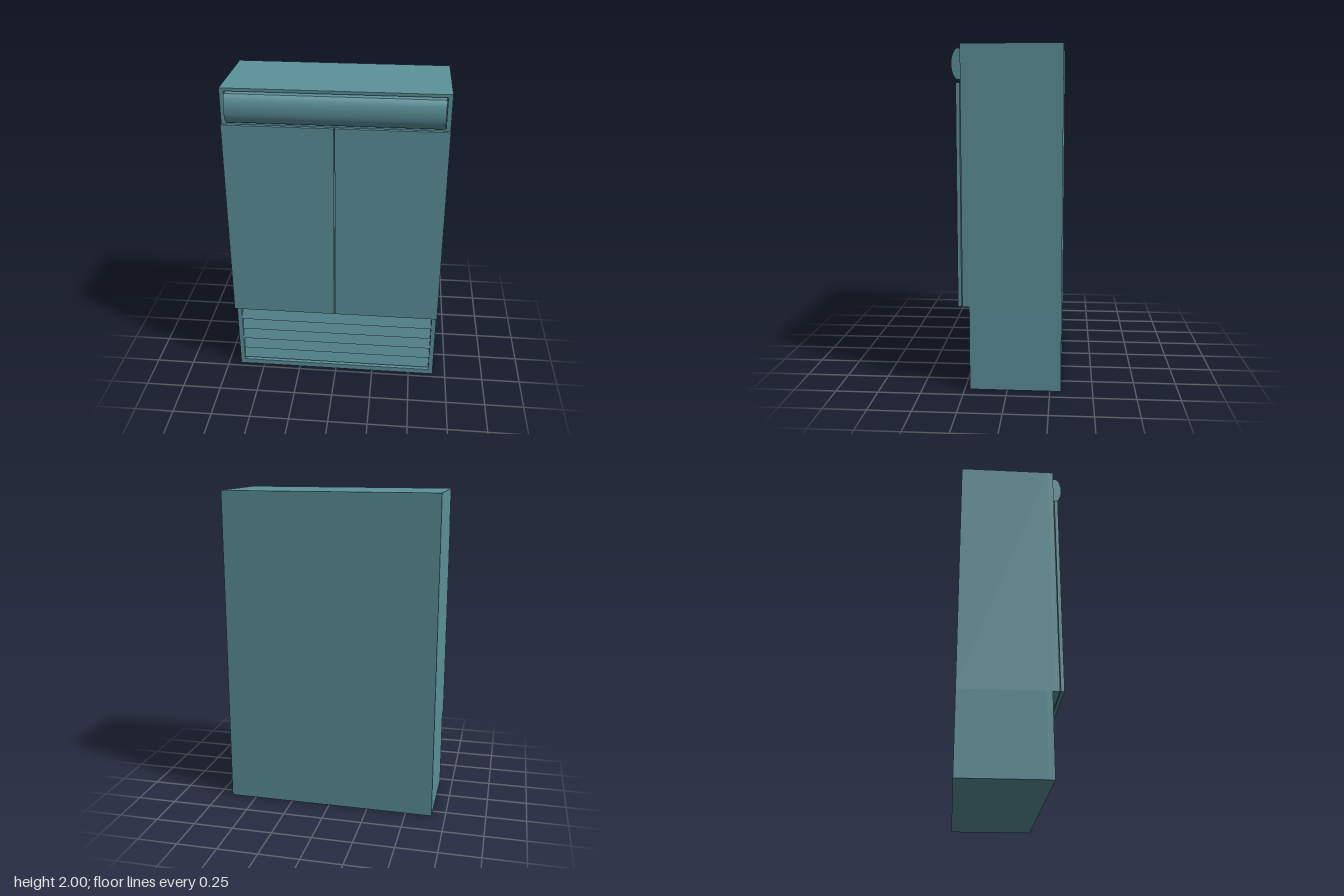
import * as THREE from 'three';
import { toCreasedNormals } from 'three/addons/utils/BufferGeometryUtils.js';

const HALF_W = 0.665, BACK = -0.315;

export function createModel() {
  const group = new THREE.Group();
  const teal = new THREE.MeshStandardMaterial({ color: 0x5c929b });
  teal.name = 'teal';

  const add = (name, geometry) => {
    const mesh = new THREE.Mesh(geometry, teal);
    mesh.name = name;
    group.add(mesh);
    return mesh;
  };

  // Box given by its limits on each axis
  const box = (name, x0, x1, y0, y1, z0, z1) =>
    add(name, new THREE.BoxGeometry(x1 - x0, y1 - y0, z1 - z0))
      .position.set((x0 + x1) / 2, (y0 + y1) / 2, (z0 + z1) / 2);

  const rect = (Type, w, y0, y1) => new Type([
    new THREE.Vector2(-w, y0), new THREE.Vector2(w, y0),
    new THREE.Vector2(w, y1), new THREE.Vector2(-w, y1),
  ]);

  // Front frame with a rectangular opening
  const frame = (name, y0, y1, holeW, hole0, hole1, z0, z1) => {
    const shape = rect(THREE.Shape, HALF_W, y0, y1);
    shape.holes.push(rect(THREE.Path, holeW, hole0, hole1));
    add(name, new THREE.ExtrudeGeometry(shape, { depth: z1 - z0, bevelEnabled: false }))
      .position.z = z0;
  };

  // Profile drawn in (z, y) and swept across the width
  const sweep = (name, shape, halfWidth) => {
    const geometry = new THREE.ExtrudeGeometry(shape, {
      depth: halfWidth * 2, bevelEnabled: false, curveSegments: 20,
    });
    geometry.translate(0, 0, -halfWidth).rotateY(-Math.PI / 2);
    return add(name, toCreasedNormals(geometry, 0.6));
  };

  // Cabinet and its front frames
  box('lowerCabinet', -HALF_W, HALF_W, 0, 0.5, BACK, 0.185);
  box('upperCabinet', -HALF_W, HALF_W, 0.5, 2, BACK, 0.23);
  frame('grilleFrame', 0, 0.5, 0.635, 0.035, 0.46, 0.185, 0.22);
  frame('topFrame', 0.5, 2, 0.638, 1.797, 1.982, 0.23, 0.26);

  // Sloping louvre slats
  const pitch = 0.08;
  for (let i = 0; i < 5; i++) {
    const y = 0.053 + i * pitch;
    sweep('louvreSlat', new THREE.Shape([
      new THREE.Vector2(0.183, y), new THREE.Vector2(0.218, y),
      new THREE.Vector2(0.192, y + pitch - 0.003), new THREE.Vector2(0.183, y + pitch - 0.003),
    ]), 0.634);
  }

  // Rounded canopy across the top
  const canopy = new THREE.Shape();
  canopy.moveTo(0.229, 1.803);
  canopy.lineTo(0.284, 1.803);
  canopy.bezierCurveTo(0.325, 1.835, 0.325, 1.943, 0.284, 1.975);
  canopy.lineTo(0.229, 1.975);
  sweep('topCanopy', canopy, 0.632);

  // Pair of doors standing slightly off the cabinet
  for (const side of [-1, 1]) {
    const xs = [side * 0.003, side * HALF_W].sort((a, b) => a - b);
    box(side > 0 ? 'leftDoor' : 'rightDoor', xs[0], xs[1], 0.5, 1.785, 0.264, 0.285);
  }
  // Hidden gasket behind the doors
  box('doorGasket', -0.645, 0.645, 0.515, 1.77, 0.255, 0.266);

  return group;
}
